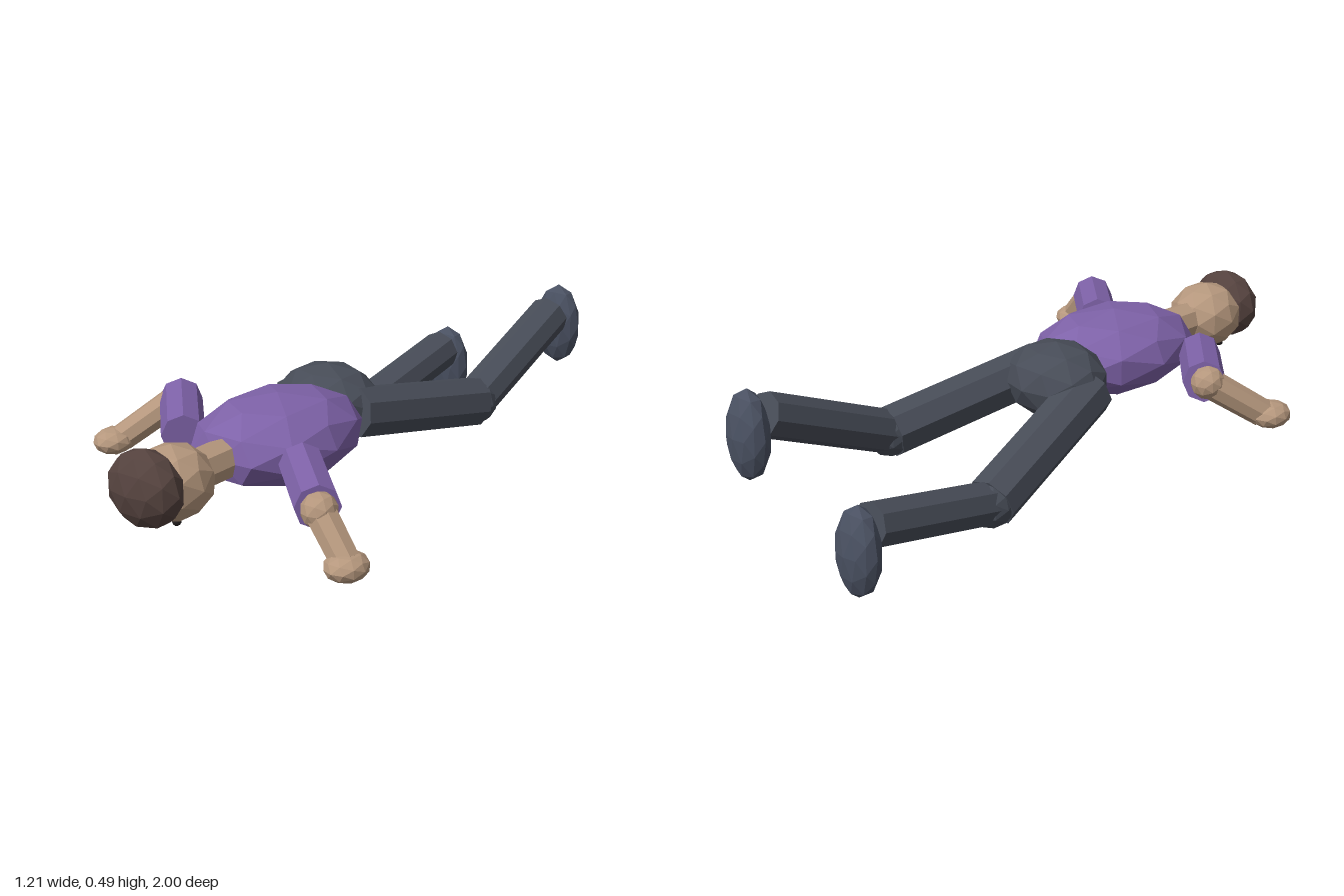
import * as THREE from 'three';

const mat = (name, color) => {
  const m = new THREE.MeshStandardMaterial({ color, flatShading: true });
  m.name = name;
  return m;
};

export function createModel() {
  const shirt = mat('purple shirt', 0x7e62a8);
  const skin = mat('skin', 0xb5977d);
  const hair = mat('brown hair', 0x54423e);
  const trousers = mat('dark trousers', 0x474c57);
  const shoe = mat('blue grey shoe', 0x4a5162);
  const dark = mat('dark eye', 0x241f1f);

  const model = new THREE.Group();
  model.name = 'lyingFigure';

  const add = (parent, name, geometry, material) => {
    const mesh = new THREE.Mesh(geometry, material);
    mesh.name = name;
    parent.add(mesh);
    return mesh;
  };

  // Faceted ellipsoid, its long body axis lying along z
  const ball = (parent, name, material, centre, radii, tilt = 0) => {
    const g = new THREE.IcosahedronGeometry(1, 1).rotateX(Math.PI / 2).scale(...radii);
    const mesh = add(parent, name, g, material);
    mesh.position.set(...centre);
    mesh.rotation.x = tilt;
    return mesh;
  };

  // Eight-sided limb between two points
  const limb = (parent, name, material, from, to, r0, r1 = r0) => {
    const a = new THREE.Vector3(...from), b = new THREE.Vector3(...to);
    const dir = b.clone().sub(a);
    const mesh = add(parent, name, new THREE.CylinderGeometry(r1, r0, dir.length(), 8), material);
    mesh.position.copy(a).add(b).multiplyScalar(0.5);
    mesh.quaternion.setFromUnitVectors(new THREE.Vector3(0, 1, 0), dir.normalize());
    return mesh;
  };

  // Torso with blunt ends, and pelvis
  const torso = ball(model, 'torso', shirt, [0, 0.31, 0.362], [0.218, 0.13, 0.3]);
  const p = torso.geometry.attributes.position;
  for (let i = 0; i < p.count; i++) p.setZ(i, THREE.MathUtils.clamp(p.getZ(i), -0.266, 0.266));
  ball(model, 'pelvis', trousers, [-0.065, 0.31, 0.04], [0.172, 0.12, 0.148]);

  // Head, face down
  const head = new THREE.Group();
  head.name = 'head';
  model.add(head);
  limb(head, 'neck', skin, [0, 0.31, 0.58], [0, 0.31, 0.74], 0.06);
  ball(head, 'face', skin, [0, 0.308, 0.815], [0.117, 0.11, 0.125]);
  ball(head, 'hairCap', hair, [0, 0.323, 0.918], [0.122, 0.114, 0.08]);
  for (const x of [-0.04, 0.04]) ball(head, 'eye', dark, [x, 0.212, 0.845], [0.013, 0.013, 0.013]);

  // Arms: bent at the elbow, hands spread outward
  const arms = [
    { name: 'leftArm', shoulder: [0.21, 0.316, 0.515], cuff: [0.417, 0.302, 0.705],
      elbow: [0.43, 0.3, 0.715], wrist: [0.535, 0.19, 0.74], hand: [0.542, 0.182, 0.745] },
    { name: 'rightArm', shoulder: [-0.217, 0.306, 0.53], cuff: [-0.417, 0.321, 0.318],
      elbow: [-0.425, 0.32, 0.325], wrist: [-0.53, 0.21, 0.465], hand: [-0.543, 0.205, 0.486] },
  ];
  for (const a of arms) {
    const arm = new THREE.Group();
    arm.name = a.name;
    model.add(arm);
    limb(arm, 'sleeve', shirt, a.shoulder, a.cuff, 0.065);
    ball(arm, 'elbow', skin, a.elbow, [0.053, 0.053, 0.053]);
    limb(arm, 'forearm', skin, a.elbow, a.wrist, 0.046, 0.043);
    ball(arm, 'hand', skin, a.hand, [0.061, 0.041, 0.068]);
  }

  // Legs: knees low, shins raised behind
  const legs = [
    { name: 'leftLeg', hip: [0.055, 0.305, 0.07], knee: [0.15, 0.215, -0.445],
      ankle: [0.156, 0.4, -0.89], foot: [0.157, 0.355, -0.945] },
    { name: 'rightLeg', hip: [-0.175, 0.295, 0.07], knee: [-0.263, 0.116, -0.425],
      ankle: [-0.266, 0.2, -0.87], foot: [-0.267, 0.137, -0.912] },
  ];
  for (const l of legs) {
    const leg = new THREE.Group();
    leg.name = l.name;
    model.add(leg);
    limb(leg, 'thigh', trousers, l.hip, l.knee, 0.08);
    ball(leg, 'knee', trousers, l.knee, [0.075, 0.075, 0.075]);
    limb(leg, 'shin', trousers, l.knee, l.ankle, 0.067);
    ball(leg, 'shoe', shoe, l.foot, [0.079, 0.137, 0.054], 0.03);
  }

  return model;
}
